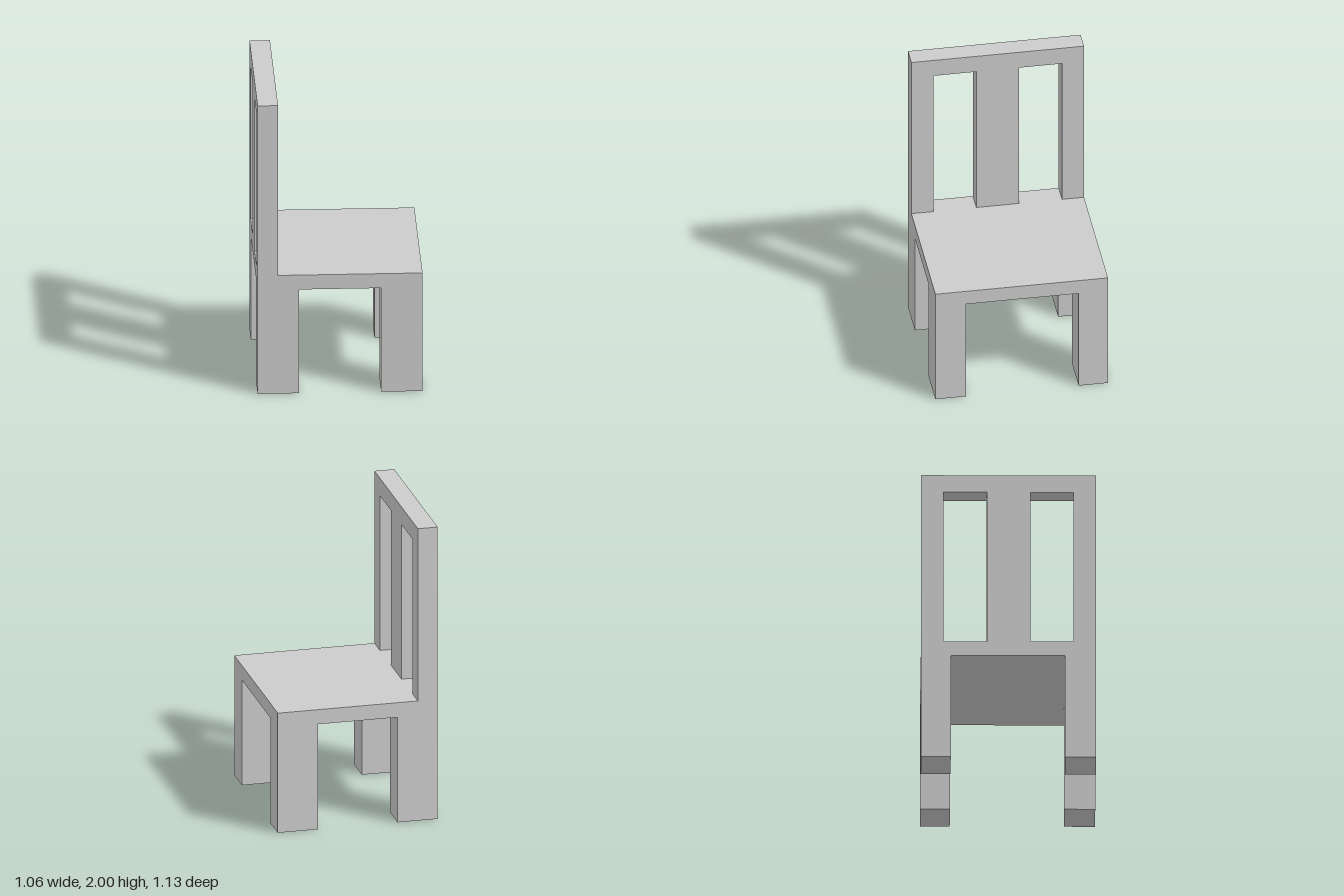
import * as THREE from 'three';

const material = new THREE.MeshStandardMaterial({ color: 0xcccccc, flatShading: true });

// Box given by its [min, max] range on each axis
function block(name, [x0, x1], [y0, y1], [z0, z1]) {
  const mesh = new THREE.Mesh(new THREE.BoxGeometry(x1 - x0, y1 - y0, z1 - z0), material);
  mesh.name = name;
  mesh.position.set((x0 + x1) / 2, (y0 + y1) / 2, (z0 + z1) / 2);
  return mesh;
}

// Adds the corners of a rectangle to a shape or hole path
function rectangle(path, x0, y0, x1, y1) {
  path.moveTo(x0, y0).lineTo(x1, y0).lineTo(x1, y1).lineTo(x0, y1).closePath();
  return path;
}

export function createModel() {
  const group = new THREE.Group();
  group.name = 'chair';

  const halfX = 0.532, halfZ = 0.564;
  const seatBottom = 0.72, seatTop = 0.82, backFront = -0.4;

  // Seat slab, running up to the backrest
  group.add(block('seat', [backFront, halfX], [seatBottom, seatTop], [-halfZ, halfZ]));

  // Four legs; the pair on the +z side is slightly wider
  for (const [end, x] of [['front', [0.265, halfX]], ['rear', [-halfX, -0.265]]]) {
    group.add(block(end + 'LegNear', x, [0, seatBottom], [0.364, halfZ]));
    group.add(block(end + 'LegFar', x, [0, seatBottom], [-halfZ, -0.372]));
  }

  // Backrest frame: one panel with two tall openings either side of a centre slat
  const frame = rectangle(new THREE.Shape(), -halfZ, seatBottom, halfZ, 2);
  for (const z of [-0.42, 0.14]) {
    frame.holes.push(rectangle(new THREE.Path(), z, seatTop, z + 0.28, 1.88));
  }
  const geometry = new THREE.ExtrudeGeometry(frame, { depth: halfX + backFront, bevelEnabled: false });
  const backrest = new THREE.Mesh(geometry, material);
  backrest.name = 'backrest';
  backrest.rotation.y = Math.PI / 2;
  backrest.position.x = -halfX;
  group.add(backrest);

  return group;
}
